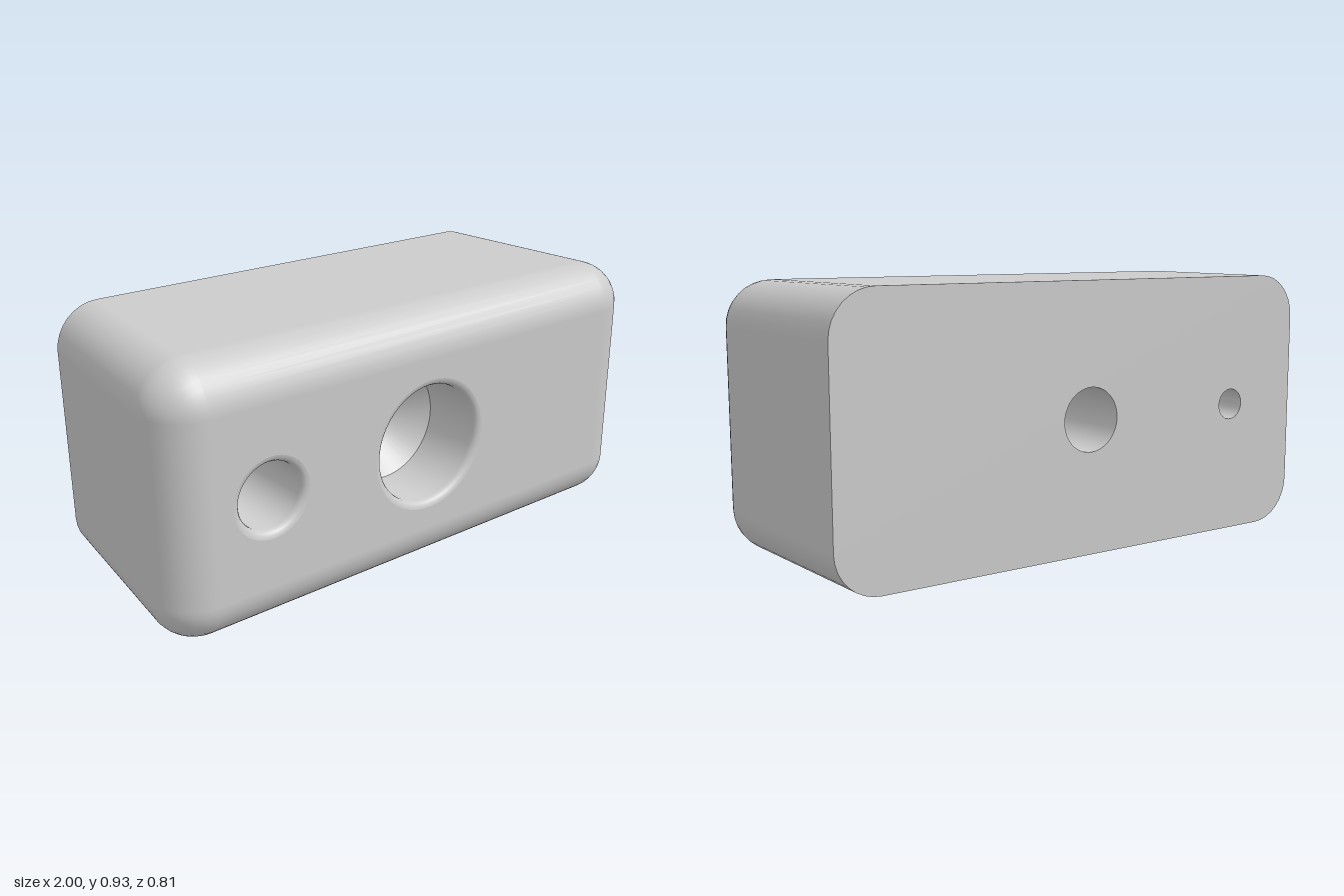
import * as THREE from 'three';
import { mergeGeometries, toCreasedNormals } from 'three/addons/utils/BufferGeometryUtils.js';

const HEIGHT = 0.93, MID = HEIGHT / 2, FRONT = 0.405, BACK = -0.405;
const RADIUS = 0.155, BACK_HALF_WIDTH = 0.943;
const CORNER_STEPS = 8, FILLET_STEPS = 8, SEGMENTS = 48;

// lip: rounded mouth, bore: wide front hole, pin: narrow through hole, depth: length of the bore
const HOLES = [
  { name: 'largeBoltHole', x: 0, lip: 0.235, bore: 0.21, pin: 0.11, depth: 0.24 },
  { name: 'smallBoltHole', x: -0.64, lip: 0.14, bore: 0.115, pin: 0.055, depth: 0.45 },
];

// Rounded rectangle, as positions and outward directions
function outline(halfWidth, radius) {
  const points = [];
  for (let q = 0; q < 4; q++) {
    const sx = q === 0 || q === 3 ? 1 : -1, sy = q < 2 ? 1 : -1;
    for (let i = 0; i <= CORNER_STEPS; i++) {
      const a = (q + i / CORNER_STEPS) * Math.PI / 2;
      const dx = Math.cos(a), dy = Math.sin(a);
      points.push({
        x: sx * (halfWidth - RADIUS) + radius * dx,
        y: sy * (MID - RADIUS) + radius * dy, dx, dy,
      });
    }
  }
  return points;
}

// Tapered side walls running into the rounded front edge
function shellGeometry() {
  const rings = [{ w: BACK_HALF_WIDTH, z: BACK, t: 0 }];
  for (let i = 0; i <= FILLET_STEPS; i++) {
    const t = i / FILLET_STEPS * Math.PI / 2;
    rings.push({ w: 1, z: FRONT - RADIUS + RADIUS * Math.sin(t), t });
  }
  const slope = (1 - BACK_HALF_WIDTH) / (FRONT - RADIUS - BACK);
  const position = [], normal = [], uv = [], index = [];
  const n = 4 * (CORNER_STEPS + 1);
  rings.forEach(({ w, z, t }, r) => {
    const c = Math.cos(t);
    outline(w, RADIUS * c).forEach((p, i) => {
      position.push(p.x, p.y, z);
      const v = new THREE.Vector3(p.dx * c, p.dy * c, t ? Math.sin(t) : -slope * Math.abs(p.dx));
      normal.push(...v.normalize().toArray());
      uv.push(i / n, r / rings.length);
      if (r === 0) return;
      const j = (i + 1) % n, a = (r - 1) * n, b = r * n;
      index.push(a + i, a + j, b + j, a + i, b + j, b + i);
    });
  });
  const g = new THREE.BufferGeometry();
  g.setAttribute('position', new THREE.Float32BufferAttribute(position, 3));
  g.setAttribute('normal', new THREE.Float32BufferAttribute(normal, 3));
  g.setAttribute('uv', new THREE.Float32BufferAttribute(uv, 2));
  g.setIndex(index);
  return g;
}

// Flat face with the two hole openings cut out
function faceGeometry(points, key, flip) {
  const shape = new THREE.Shape(points);
  for (const h of HOLES) {
    const hole = new THREE.Path();
    hole.absarc(h.x * flip, 0, h[key], 0, Math.PI * 2, true);
    shape.holes.push(hole);
  }
  return new THREE.ShapeGeometry(shape, SEGMENTS / 2);
}

// Inner wall of a hole: rounded lip, bore, 45 degree cone, through hole
function holeGeometry({ lip, bore, pin, depth }) {
  const profile = [], f = lip - bore;
  for (let i = 0; i <= 4; i++) {
    const a = i / 4 * Math.PI / 2;
    profile.push(new THREE.Vector2(lip - f * Math.sin(a), FRONT - f * (1 - Math.cos(a))));
  }
  profile.push(
    new THREE.Vector2(bore, FRONT - depth),
    new THREE.Vector2(pin, FRONT - depth - (bore - pin)),
    new THREE.Vector2(pin, BACK),
  );
  const g = new THREE.LatheGeometry(profile, SEGMENTS).rotateX(Math.PI / 2);
  return toCreasedNormals(g, 0.6);
}

export function createModel() {
  const group = new THREE.Group();
  const material = new THREE.MeshStandardMaterial({ color: 0xcccccc });

  // Block: walls, front face and back face
  const hw = 1 - RADIUS, hh = MID - RADIUS;
  const corners = [[hw, hh], [-hw, hh], [-hw, -hh], [hw, -hh]].map(([x, y]) => new THREE.Vector2(x, y));
  const backOutline = outline(BACK_HALF_WIDTH, RADIUS).map((p) => new THREE.Vector2(p.x, p.y));
  const front = faceGeometry(corners, 'lip', 1).translate(0, 0, FRONT);
  const back = faceGeometry(backOutline, 'pin', -1).rotateY(Math.PI).translate(0, 0, BACK);
  const block = new THREE.Mesh(mergeGeometries([shellGeometry(), front, back]), material);
  block.name = 'block';
  block.position.y = MID;
  group.add(block);

  // Stepped holes
  for (const h of HOLES) {
    const hole = new THREE.Mesh(holeGeometry(h), material);
    hole.name = h.name;
    hole.position.set(h.x, MID, 0);
    group.add(hole);
  }
  return group;
}
